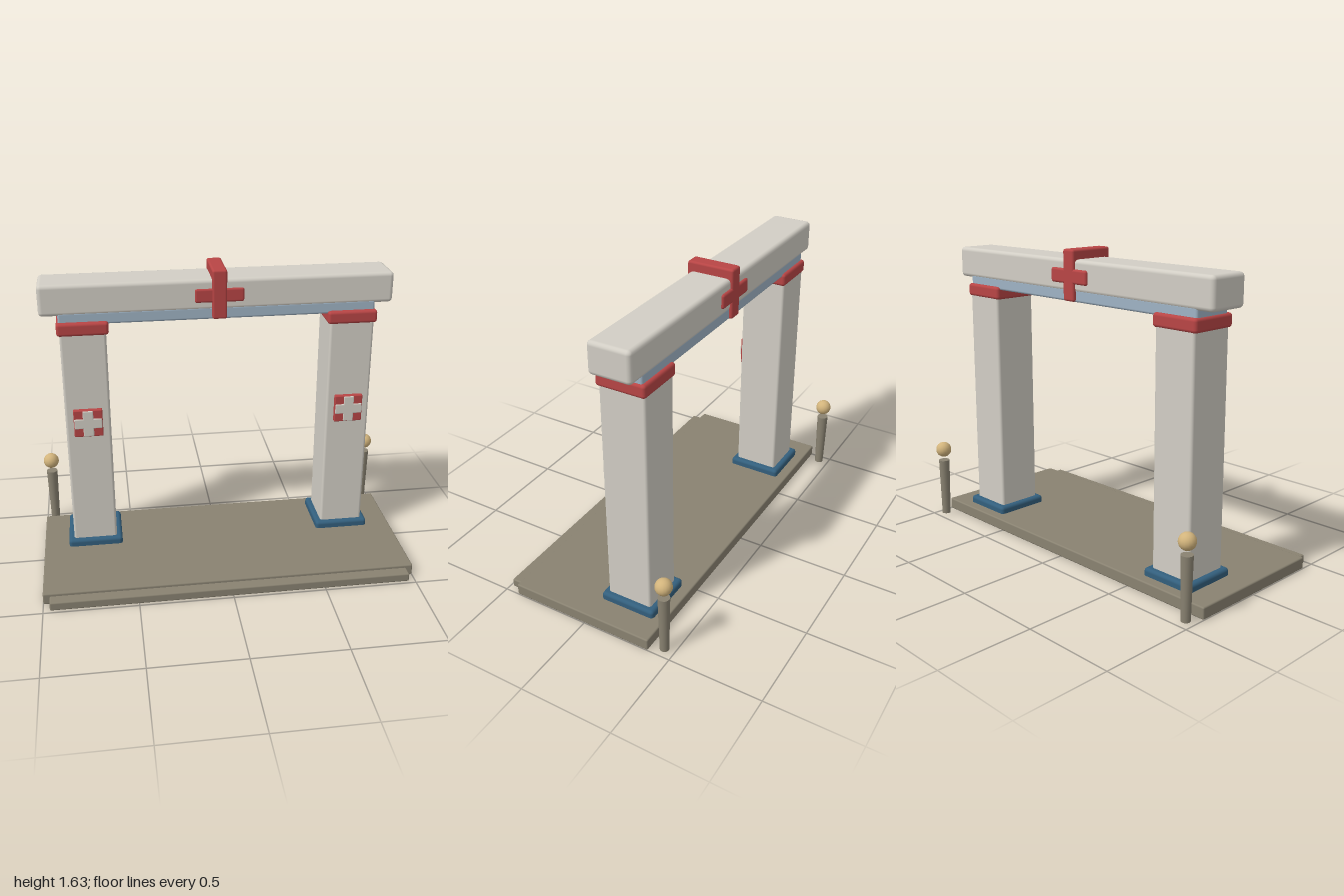
import * as THREE from 'three';
import { RoundedBoxGeometry } from 'three/addons/geometries/RoundedBoxGeometry.js';

const mat = (color) => new THREE.MeshStandardMaterial({ color });

export function createModel() {
  const stone = mat(0xd2cec5), paving = mat(0x898271), red = mat(0xb84545);
  const navy = mat(0x335f7d), paleBlue = mat(0x9fb3c4), gold = mat(0xd2b47c);

  // Softly bevelled block given by its extents along each axis
  const block = (name, material, [x0, x1], [y0, y1], [z0, z1], bevel = 0.012) => {
    const mesh = new THREE.Mesh(
      new RoundedBoxGeometry(x1 - x0, y1 - y0, z1 - z0, 2, bevel), material);
    mesh.name = name;
    mesh.position.set((x0 + x1) / 2, (y0 + y1) / 2, (z0 + z1) / 2);
    return mesh;
  };

  const model = new THREE.Group();
  model.name = 'gateway';

  // Paved platform with a low front step
  model.add(
    block('platform', paving, [-1, 1], [0, 0.064], [-0.378, 0.425], 0.008),
    block('frontStep', paving, [-0.965, 0.965], [0, 0.048], [0.38, 0.485], 0.008));

  // Lintel, beam and the cross wrapped around its middle
  model.add(
    block('lintel', paleBlue, [-0.835, 0.835], [1.363, 1.43], [-0.28, -0.058]),
    block('beam', stone, [-0.93, 0.93], [1.412, 1.578], [-0.284, -0.056], 0.022),
    block('crossUpright', red, [-0.039, 0.039], [1.366, 1.628], [-0.298, -0.042]),
    block('crossArm', red, [-0.13, 0.13], [1.455, 1.53], [-0.298, -0.048]));

  for (const side of [-1, 1]) {
    const label = side > 0 ? 'left' : 'right';

    // Pillar with its plinth, capital and plaque
    const pillar = new THREE.Group();
    pillar.name = label + 'Pillar';
    pillar.position.x = side * 0.712;
    pillar.add(
      block('shaft', stone, [-0.12, 0.12], [0.02, 1.33], [-0.291, -0.042], 0.014),
      block('plinth', navy, [-0.15, 0.15], [0.01, 0.104], [-0.322, -0.016], 0.018),
      block('capital', red, [-0.134, 0.134], [1.31, 1.38], [-0.298, -0.032], 0.016),
      block('plaque', red, [-0.077, 0.077], [0.746, 0.9], [-0.06, -0.018], 0.006),
      block('plaqueUpright', stone, [-0.028, 0.028], [0.75, 0.896], [-0.055, -0.012], 0.005),
      block('plaqueBar', stone, [-0.074, 0.074], [0.795, 0.851], [-0.055, -0.012], 0.005));
    model.add(pillar);

    // Tapered bollard with a ball floating just above it
    const bollard = new THREE.Group();
    bollard.name = label + 'Bollard';
    bollard.position.set(side * 0.95, 0, -0.445);
    const post = new THREE.Mesh(new THREE.CylinderGeometry(0.031, 0.024, 0.33, 16), paving);
    post.name = 'post';
    post.position.y = 0.17;
    const ball = new THREE.Mesh(new THREE.SphereGeometry(0.044, 16, 12), gold);
    ball.name = 'ball';
    ball.position.y = 0.4;
    bollard.add(post, ball);
    model.add(bollard);
  }

  return model;
}
